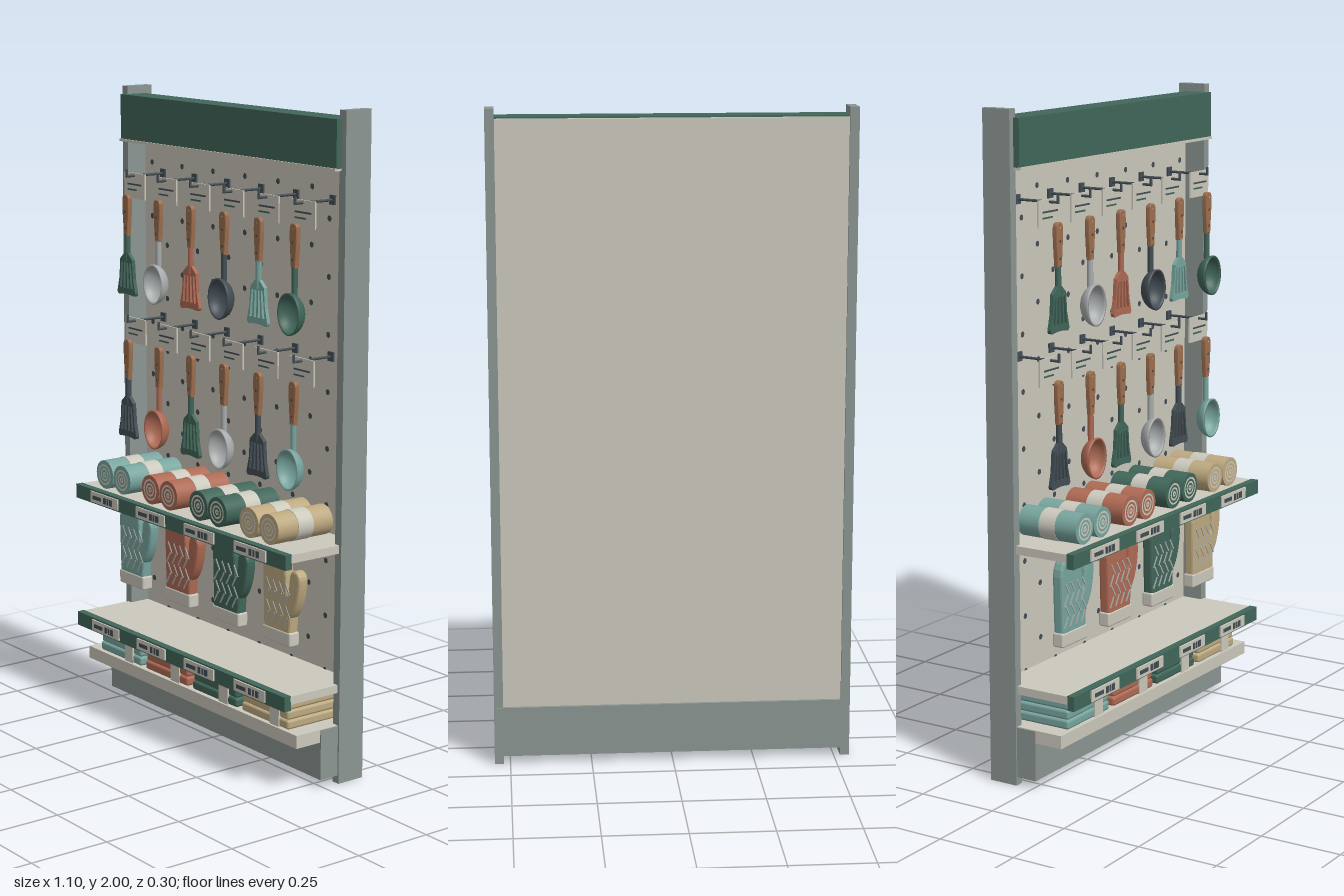
import * as THREE from 'three';
import { mergeGeometries } from 'three/addons/utils/BufferGeometryUtils.js';
import { RoundedBoxGeometry } from 'three/addons/geometries/RoundedBoxGeometry.js';

const colours = {
  cream: 0xcbc8bc, grey: 0x8b9592, green: 0x41665a, teal: 0x78a59e, rust: 0xae6a54,
  tan: 0xbda980, slate: 0x434e55, steel: 0xa9adad, wood: 0x9c6e4e,
};
const mat = {};
for (const [name, color] of Object.entries(colours)) {
  mat[name] = new THREE.MeshStandardMaterial({ color });
  mat[name].name = name;
}

function add(parent, name, geo, colour, x = 0, y = 0, z = 0) {
  const m = new THREE.Mesh(geo, mat[colour]);
  m.name = name;
  m.position.set(x, y, z);
  parent.add(m);
  return m;
}

// Box given by its limits on each axis
function box(parent, name, colour, x0, x1, y0, y1, z0, z1) {
  return add(parent, name, new THREE.BoxGeometry(x1 - x0, y1 - y0, z1 - z0), colour,
    (x0 + x1) / 2, (y0 + y1) / 2, (z0 + z1) / 2);
}

function group(parent, name, x = 0, y = 0, z = 0) {
  const g = new THREE.Group();
  g.name = name;
  g.position.set(x, y, z);
  parent.add(g);
  return g;
}

// Extrude a shape, centred on z = 0
function plate(shape, depth, bevel = 0) {
  const geo = new THREE.ExtrudeGeometry(shape, {
    depth: depth - 2 * bevel, bevelEnabled: bevel > 0, bevelSize: bevel, bevelOffset: -bevel,
    bevelThickness: bevel, bevelSegments: 2, curveSegments: 10,
  });
  return geo.translate(0, 0, -depth / 2 + bevel);
}

const PANEL = -0.123;

function buildFrame(root) {
  for (const s of [-1, 1]) {
    add(root, 'post', new THREE.BoxGeometry(0.028, 2, 0.093), 'grey', s * 0.534, 1, -0.102);
  }
  box(root, 'pegPanel', 'cream', -0.522, 0.522, 0.18, 1.97, -0.14, PANEL);
  box(root, 'base', 'grey', -0.543, 0.543, 0.025, 0.18, -0.15, 0.01);
  box(root, 'baseTray', 'cream', -0.54, 0.54, 0.142, 0.182, -0.12, 0.1);
  box(root, 'header', 'green', -0.53, 0.53, 1.835, 1.975, PANEL, -0.036);
  box(root, 'headerTrim', 'cream', -0.53, 0.53, 1.828, 1.836, PANEL, -0.031);
  // Staggered peg holes
  const holes = [];
  for (let r = 0; r <= 17; r++) {
    for (let k = -3; k <= 3 - (r % 2); k++) {
      holes.push(new THREE.CircleGeometry(0.009, 10)
        .translate(k * 0.16 + (r % 2) * 0.08, 1.76 - r * 0.0856, PANEL + 0.002));
    }
  }
  add(root, 'pegHoles', mergeGeometries(holes), 'slate');
}

function buildShelf(root, y) {
  const g = group(root, 'shelf', 0, y, 0);
  box(g, 'shelfBoard', 'cream', -0.538, 0.538, -0.025, 0, PANEL, 0.122);
  box(g, 'shelfEdge', 'green', -0.538, 0.538, -0.043, 0.002, 0.121, 0.145);
  for (const x of [-0.375, -0.125, 0.125, 0.375]) {
    box(g, 'priceLabel', 'cream', x - 0.075, x + 0.075, -0.038, -0.003, 0.145, 0.15);
    for (const [a, b, h] of [[-0.06, -0.015, 0.006], [0, 0.012, 0.01], [0.018, 0.026, 0.01], [0.032, 0.046, 0.01]]) {
      box(g, 'labelMark', 'slate', x + a, x + b, -0.021 - h, -0.021 + h, 0.15, 0.152);
    }
  }
}

// Hook rod with an upturned tip, and optionally a tag
function buildHook(root, x, y, tag) {
  const g = group(root, 'hook', x, y, 0);
  const rod = new THREE.CylinderGeometry(0.004, 0.004, 0.145, 8).rotateX(Math.PI / 2);
  add(g, 'hookRod', rod, 'slate', 0, 0, PANEL + 0.0725);
  add(g, 'hookTip', new THREE.CylinderGeometry(0.004, 0.004, 0.026, 8), 'slate', 0, 0.009, 0.02);
  box(g, 'hookPlate', 'slate', -0.012, 0.012, -0.014, 0.014, PANEL, PANEL + 0.006);
  if (!tag) return;
  box(g, 'tag', 'cream', -0.055, 0.055, -0.072, 0.008, -0.014, -0.009);
  box(g, 'tagLine', 'slate', -0.035, 0.04, -0.03, -0.025, -0.009, -0.007);
  box(g, 'tagLine', 'green', -0.035, 0.015, -0.047, -0.042, -0.009, -0.007);
}

// Wooden handle and neck; y = 0 is the top of the handle
function buildHandle(g, colour) {
  const s = new THREE.Shape();
  s.moveTo(-0.01, -0.13);
  s.bezierCurveTo(-0.012, -0.09, -0.018, -0.06, -0.016, -0.015);
  s.quadraticCurveTo(-0.015, 0, 0, 0);
  s.quadraticCurveTo(0.015, 0, 0.016, -0.015);
  s.bezierCurveTo(0.018, -0.06, 0.012, -0.09, 0.01, -0.13);
  s.holes.push(new THREE.Path().absarc(0, -0.016, 0.005, 0, Math.PI * 2, true));
  add(g, 'handle', plate(s, 0.016, 0.003), 'wood');
  for (const y of [-0.055, -0.105]) {
    add(g, 'rivet', new THREE.CylinderGeometry(0.004, 0.004, 0.019, 8).rotateX(Math.PI / 2), 'slate', 0, y, 0);
  }
  add(g, 'neck', new THREE.CylinderGeometry(0.009, 0.009, 0.085, 10), colour, 0, -0.168, 0);
}

function buildSpatula(g, colour) {
  const s = new THREE.Shape();
  s.moveTo(-0.01, -0.185);
  s.lineTo(-0.032, -0.205);
  s.lineTo(-0.037, -0.265);
  s.lineTo(-0.048, -0.308);
  s.quadraticCurveTo(-0.046, -0.321, -0.034, -0.318);
  s.quadraticCurveTo(0, -0.312, 0.034, -0.318);
  s.quadraticCurveTo(0.046, -0.321, 0.048, -0.308);
  s.lineTo(0.037, -0.265);
  s.lineTo(0.032, -0.205);
  s.lineTo(0.01, -0.185);
  for (const i of [-1.5, -0.5, 0.5, 1.5]) {
    const a = i * 0.0145, b = i * 0.0195;
    s.holes.push(new THREE.Path([[a - 0.004, -0.215], [a + 0.004, -0.215], [b + 0.006, -0.296], [b - 0.006, -0.296]]
      .map(([x, y]) => new THREE.Vector2(x, y))));
  }
  add(g, 'spatulaHead', plate(s, 0.012), colour);
}

function buildSpoon(g, colour) {
  // Bowl opens to the front; outer wall, then inner wall
  const pts = [];
  for (let i = 0; i <= 10; i++) {
    const a = (i / 10) * Math.PI / 2;
    pts.push(new THREE.Vector2(Math.sin(a), -Math.cos(a)));
  }
  for (let i = 10; i >= 0; i--) {
    const a = (i / 10) * Math.PI / 2;
    pts.push(new THREE.Vector2(0.9 * Math.sin(a), -0.9 * Math.cos(a)));
  }
  const bowl = new THREE.LatheGeometry(pts, 28).rotateX(Math.PI / 2).scale(0.05, 0.063, 0.05);
  add(g, 'spoonBowl', bowl, colour, 0, -0.262, 0.024);
}

function buildMitt(root, x, colour) {
  const g = group(root, 'ovenMitt', x, 0, 0.025);
  const s = new THREE.Shape();
  s.moveTo(-0.062, 0.45);
  s.lineTo(-0.068, 0.63);
  s.bezierCurveTo(-0.066, 0.71, 0.04, 0.71, 0.043, 0.63);
  s.lineTo(0.046, 0.575);
  s.quadraticCurveTo(0.055, 0.585, 0.058, 0.625);
  s.bezierCurveTo(0.062, 0.668, 0.114, 0.66, 0.107, 0.615);
  s.quadraticCurveTo(0.1, 0.54, 0.065, 0.505);
  s.lineTo(0.062, 0.45);
  add(g, 'mittBody', plate(s, 0.034, 0.007), colour);
  add(g, 'mittCuff', new RoundedBoxGeometry(0.132, 0.045, 0.038, 2, 0.006), 'cream', 0, 0.436, 0);
  // Diagonal quilt stitches
  for (let r = 0; r < 4; r++) {
    for (let c = 0; c < 4; c++) {
      const dash = add(g, 'stitch', new THREE.BoxGeometry(0.005, 0.038, 0.003), 'steel',
        -0.046 + c * 0.03 + (r % 2) * 0.008, 0.488 + r * 0.034, 0.0175);
      dash.rotation.z = r % 2 ? 0.55 : -0.55;
    }
  }
  add(g, 'hangLoop', new THREE.TorusGeometry(0.012, 0.003, 6, 16), 'slate', -0.012, 0.693, 0);
}

// Rolled towel lying front to back on the shelf
function buildRoll(root, x, colour) {
  const g = group(root, 'rolledTowel', x, 0.784, 0);
  const tube = (r, len) => new THREE.CylinderGeometry(r, r, len, 28).rotateX(Math.PI / 2);
  add(g, 'towelRoll', tube(0.046, 0.205), colour, 0, 0, 0.0075);
  add(g, 'paperBand', tube(0.0475, 0.056), 'cream', 0, 0, 0.007);
  for (const [z, flip] of [[0.1115, 0], [-0.0965, Math.PI]]) {
    for (const r of [0.034, 0.021, 0.009]) {
      add(g, 'rollRing', new THREE.RingGeometry(r - 0.006, r, 24), 'cream', 0, 0, z).rotation.y = flip;
    }
  }
}

function buildFoldedStack(root, x, colour) {
  const g = group(root, 'foldedTowels', x, 0.182, 0);
  for (let i = 0; i < 3; i++) {
    const layer = new RoundedBoxGeometry(0.225 - i * 0.006, 0.029, 0.2 - i * 0.004, 2, 0.008);
    add(g, 'foldedTowel', layer, colour, 0, 0.0145 + i * 0.029, -0.01);
  }
  box(g, 'paperBand', 'cream', 0.028, 0.072, 0, 0.089, -0.113, 0.093);
}

export function createModel() {
  const root = new THREE.Group();
  root.name = 'displayStand';
  buildFrame(root);
  buildShelf(root, 0.735);
  buildShelf(root, 0.307);

  // Two rows of hanging utensils, spatulas and spoons in turn
  const rows = [
    [1.73, ['green', 'steel', 'rust', 'slate', 'teal', 'green']],
    [1.27, ['slate', 'rust', 'green', 'steel', 'slate', 'teal']],
  ];
  for (const [y, list] of rows) {
    list.forEach((colour, i) => {
      const x = -0.42 + i * 0.167;
      buildHook(root, x, y, true);
      const g = group(root, i % 2 ? 'spoon' : 'spatula', x, y - 0.056, 0.019);
      buildHandle(g, colour);
      (i % 2 ? buildSpoon : buildSpatula)(g, colour);
    });
  }

  // Four colour sets: rolls, mitts and folded towels
  ['teal', 'rust', 'green', 'tan'].forEach((colour, i) => {
    const x = -0.378 + i * 0.249;
    for (const s of [-1, 1]) buildRoll(root, x + s * 0.0475, colour);
    buildMitt(root, x, colour);
    buildHook(root, x - 0.012, 0.7, false);
    buildFoldedStack(root, -0.375 + i * 0.25, colour);
  });
  return root;
}
